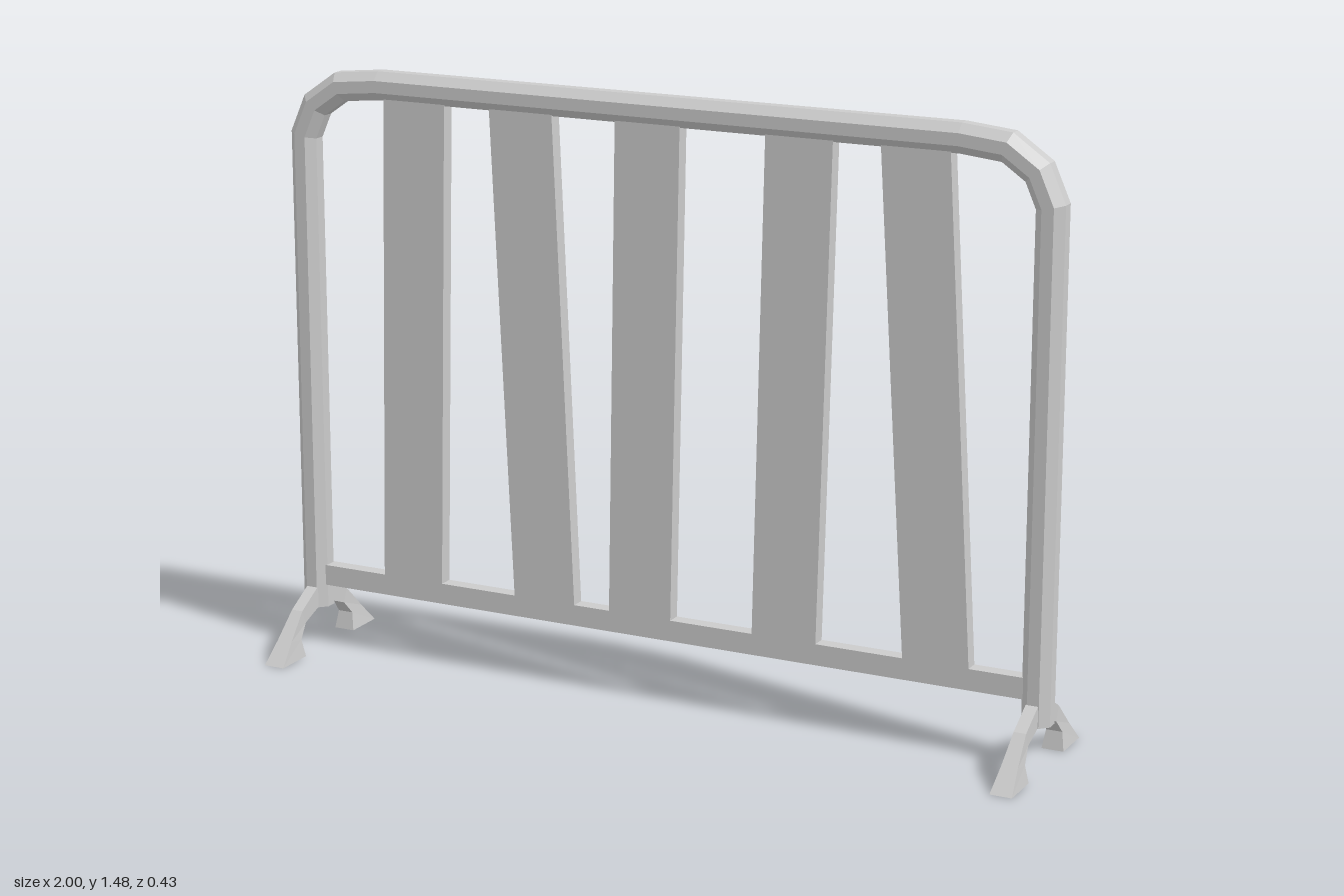
import * as THREE from 'three';

const material = new THREE.MeshStandardMaterial({ color: 0xcccccc, flatShading: true });
const Z = -0.003; // mid-plane of the panel

// Closed solid through a list of equal-length rings of Vector3, facing outwards.
function loft(rings) {
  const tris = [];
  const n = rings[0].length;
  for (let i = 0; i < rings.length - 1; i++) {
    for (let j = 0; j < n; j++) {
      const k = (j + 1) % n;
      const [a, b, c, d] = [rings[i][j], rings[i][k], rings[i + 1][k], rings[i + 1][j]];
      tris.push([a, b, c], [a, c, d]);
    }
  }
  const first = rings[0], last = rings[rings.length - 1];
  for (let j = 1; j < n - 1; j++) {
    tris.push([first[0], first[j + 1], first[j]], [last[0], last[j], last[j + 1]]);
  }
  // A negative volume means the faces look inwards
  const volume = tris.reduce((s, [a, b, c]) => s + a.dot(b.clone().cross(c)), 0);
  const points = tris.flatMap(([a, b, c]) => (volume < 0 ? [a, c, b] : [a, b, c]));
  const geometry = new THREE.BufferGeometry().setFromPoints(points);
  geometry.computeVertexNormals();
  return geometry;
}

// Octagonal tube swept along a path in the xy plane, with mitred bends.
function octagonTube(path, apothem) {
  const r = apothem / Math.cos(Math.PI / 8);
  return loft(path.map((p, i) => {
    const before = p.clone().sub(path[i - 1] ?? p).normalize();
    const after = (path[i + 1] ?? p).clone().sub(p).normalize();
    const t = before.clone().add(after).normalize();
    const stretch = 1 / t.dot(i ? before : after);
    return Array.from({ length: 8 }, (_, j) => {
      const angle = (j + 0.5) * Math.PI / 4;
      const u = r * Math.cos(angle) * stretch;
      return new THREE.Vector3(p.x - t.y * u, p.y + t.x * u, Z + r * Math.sin(angle));
    });
  }));
}

// Flat bar between a lower and an upper edge: [left, right, y]
function bar(lower, upper, depth) {
  return loft([lower, upper].map(([x0, x1, y]) => [
    new THREE.Vector3(x0, y, Z - depth / 2), new THREE.Vector3(x1, y, Z - depth / 2),
    new THREE.Vector3(x1, y, Z + depth / 2), new THREE.Vector3(x0, y, Z + depth / 2),
  ]));
}

export function createModel() {
  const group = new THREE.Group();
  const add = (name, geometry) => {
    const mesh = new THREE.Mesh(geometry, material);
    mesh.name = name;
    group.add(mesh);
    return mesh;
  };

  // Bent outer frame
  const half = [[0.965, 0.102], [0.965, 1.305], [0.932, 1.38], [0.86, 1.43], [0.75, 1.441]];
  const path = [
    ...half.map(([x, y]) => new THREE.Vector2(-x, y)),
    ...half.map(([x, y]) => new THREE.Vector2(x, y)).reverse(),
  ];
  add('frame', octagonTube(path, 0.035));

  // Bottom rail
  add('bottomRail', bar([-0.945, 0.945, 0.16], [-0.945, 0.945, 0.212], 0.036));

  // Leaning slats: left edge at the bottom and at the top
  const slats = [[-0.76, -0.735], [-0.39, -0.445], [-0.13, -0.11], [0.25, 0.275], [0.635, 0.56]];
  slats.forEach(([low, high], i) => {
    add(`slat${i + 1}`, bar([low, low + 0.165, 0.21], [high, high + 0.168, 1.412], 0.036));
  });

  // Arched legs, widening to the foot: outer z, y, inner z, y, half width
  const sections = [
    [0.216, 0, 0.112, 0, 0.027],
    [0.165, 0.052, 0.12, 0.045, 0.02],
    [0.105, 0.114, 0.09, 0.08, 0.015],
    [0.034, 0.155, 0.034, 0.102, 0.015],
    [0.01, 0.155, 0.01, 0.102, 0.015],
  ];
  for (const x of [-0.963, 0.963]) {
    for (const s of [-1, 1]) {
      const rings = sections.map(([zo, yo, zi, yi, w]) => [
        new THREE.Vector3(x - w, yo, s * zo), new THREE.Vector3(x + w, yo, s * zo),
        new THREE.Vector3(x + w, yi, s * zi), new THREE.Vector3(x - w, yi, s * zi),
      ]);
      add(`${s > 0 ? 'front' : 'back'}${x > 0 ? 'Left' : 'Right'}Leg`, loft(rings));
    }
  }
  return group;
}
